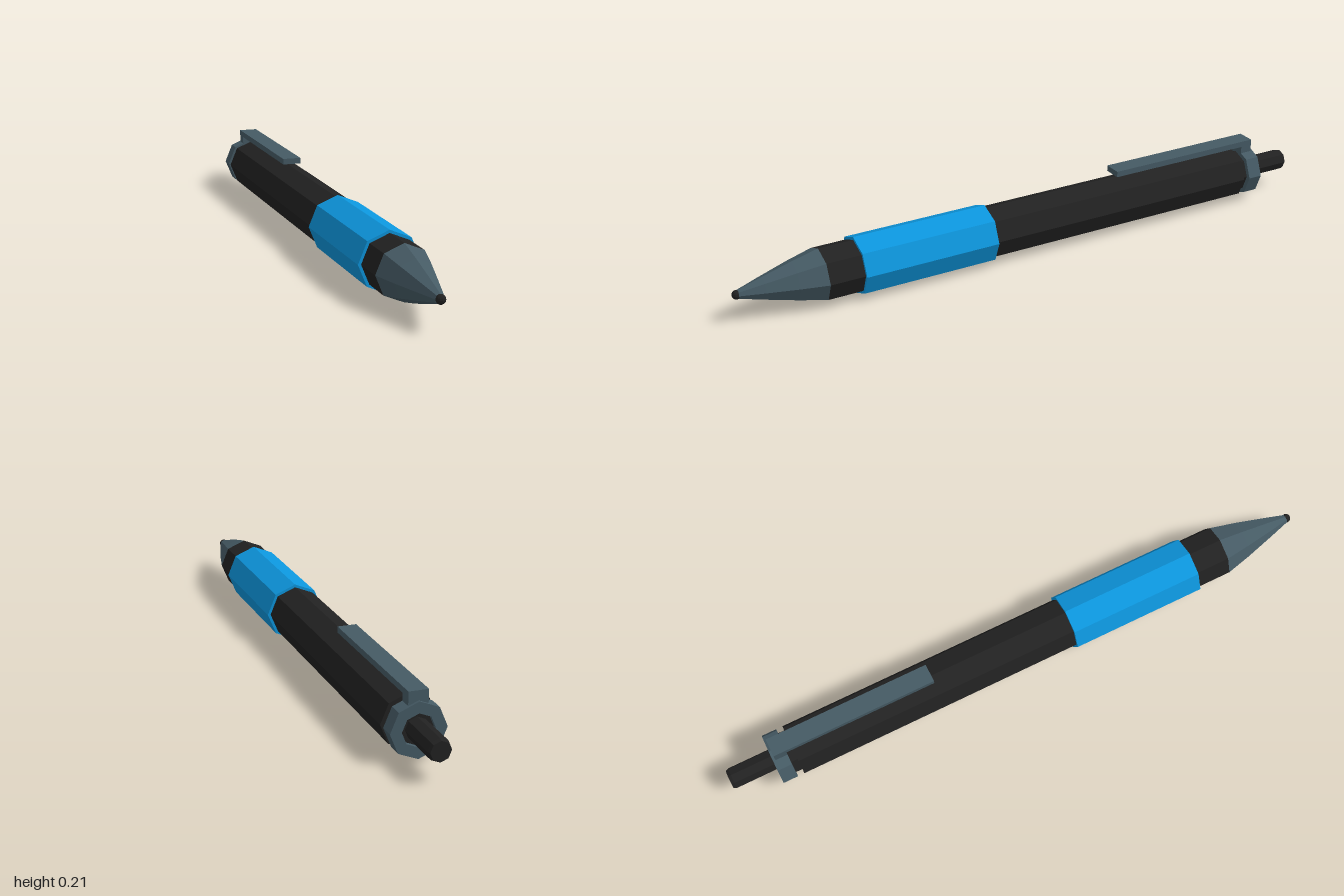
import * as THREE from 'three';

const AXIS_Y = 0.0965; // height of the pen's long axis
const SIDES = 8;

const material = (color) => new THREE.MeshStandardMaterial({ color, flatShading: true });

export function createModel() {
  const pen = new THREE.Group();
  pen.name = 'pen';
  const black = material(0x212121);
  const slate = material(0x455a64);
  const blue = material(0x0c95dc);

  const add = (name, geometry, mat, x, y, z) => {
    const mesh = new THREE.Mesh(geometry, mat);
    mesh.name = name;
    mesh.position.set(x, y, z);
    pen.add(mesh);
  };

  // Octagonal part turned around the long axis from [radius, z] points, back to front
  const turned = (name, profile, mat) => {
    const points = profile.map(([r, z]) => new THREE.Vector2(r, z));
    const geometry = new THREE.LatheGeometry(points, SIDES).rotateX(Math.PI / 2);
    add(name, geometry, mat, 0, AXIS_Y, 0);
  };

  // Barrel with a narrower neck that carries the collar
  turned('barrel', [
    [0, -0.84], [0.07, -0.84], [0.07, -0.785], [0.085, -0.785], [0.085, 0.725], [0, 0.725],
  ], black);

  // Sleeve around the front of the barrel
  turned('grip', [
    [0.085, 0.165], [0.0945, 0.165], [0.0945, 0.612], [0.085, 0.612],
  ], blue);

  // Tapered nose and writing ball
  turned('nose', [
    [0.085, 0.725], [0.064, 0.81], [0.037, 0.905], [0.014, 0.982], [0, 0.982],
  ], slate);
  add('ballPoint', new THREE.SphereGeometry(0.0145, 12, 8), black, 0, AXIS_Y, 0.9855);

  // Ring at the back, open in the middle for the button
  turned('collar', [
    [0.05, -0.855], [0.085, -0.855], [0.085, -0.807], [0.05, -0.807], [0.05, -0.855],
  ], slate);

  // Push button
  turned('button', [
    [0, -1], [0.031, -1], [0.035, -0.99], [0.035, -0.84],
  ], black);

  // Clip: flat strip on a short stem rising from the collar
  add('clipStrip', new THREE.BoxGeometry(0.06, 0.019, 0.54), slate, 0, 0.2015, -0.577);
  add('clipStem', new THREE.BoxGeometry(0.06, 0.04, 0.04), slate, 0, 0.1765, -0.827);

  return pen;
}
